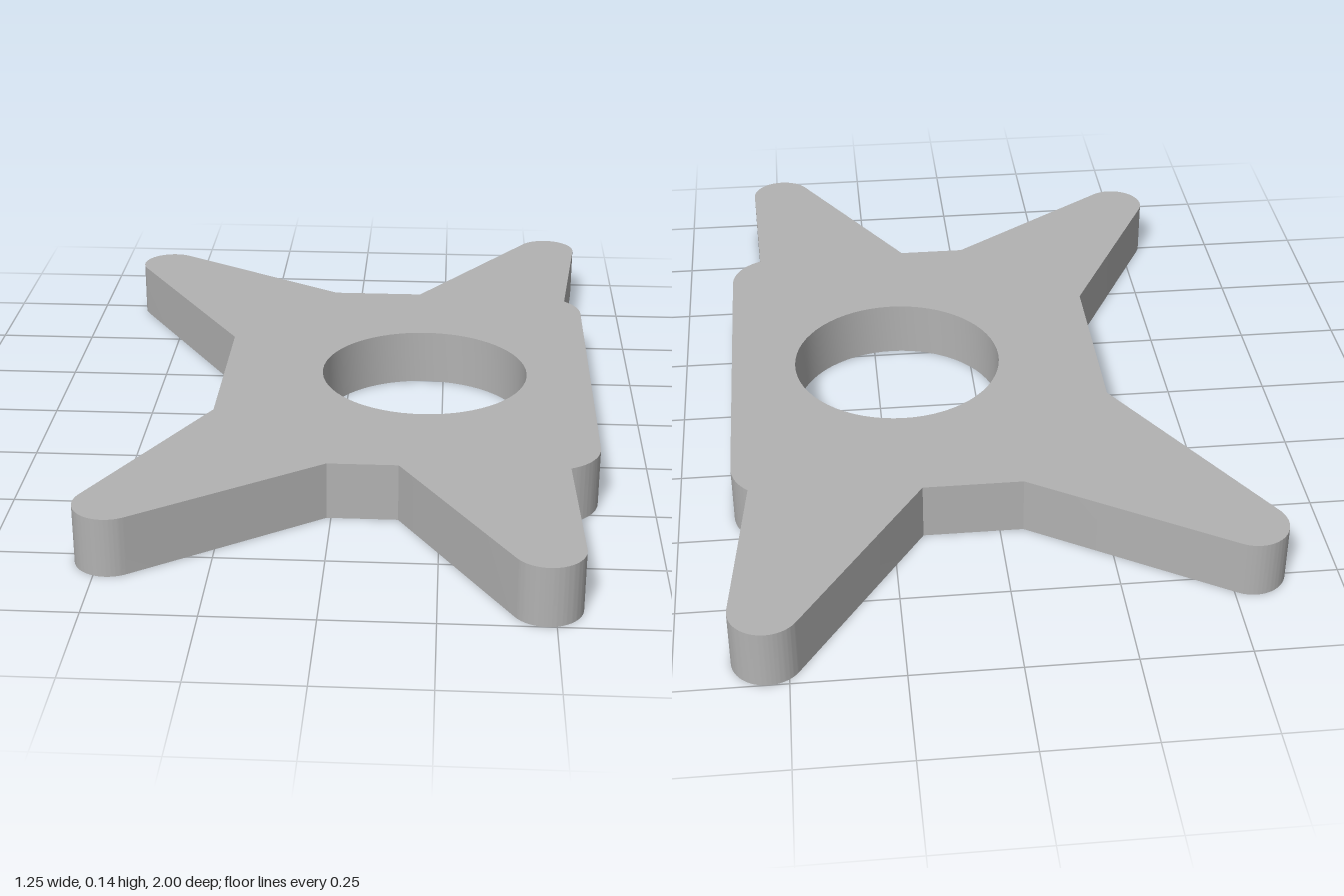
import * as THREE from 'three';
import { toCreasedNormals } from 'three/addons/utils/BufferGeometryUtils.js';

const THICKNESS = 0.14;
const TIP_RADIUS = 0.08;

// Rounded arm tip, tangent to the edges coming from point p and going to point q
function addTip(shape, p, c, q) {
  const tangent = (pt, side) => {
    const dx = pt[0] - c[0], dy = pt[1] - c[1];
    return Math.atan2(dy, dx) + side * Math.acos(TIP_RADIUS / Math.hypot(dx, dy));
  };
  shape.lineTo(...p);
  shape.absarc(c[0], c[1], TIP_RADIUS, tangent(p, 1), tangent(q, -1), false);
  shape.lineTo(...q);
}

export function createModel() {
  const group = new THREE.Group();
  group.name = 'starPlate';
  const grey = new THREE.MeshStandardMaterial({ color: 0xb2b2b2 });
  grey.name = 'plain grey';

  // Outline counter-clockwise, drawn as (x, -z)
  const outline = new THREE.Shape();
  outline.moveTo(0.62, -0.43);
  // straight right edge and its rounded rear corner
  outline.absarc(0.5, 0.41, 0.12, 0, 0.841, false);
  // four arms: inner corner, tip centre, inner corner
  addTip(outline, [0.58, 0.499], [0.545, 0.92], [0.18, 0.53]);
  addTip(outline, [-0.055, 0.53], [-0.548, 0.737], [-0.303, 0.19]);
  addTip(outline, [-0.303, -0.27], [-0.473, -0.768], [-0.01, -0.548]);
  addTip(outline, [0.155, -0.548], [0.48, -0.92], [0.546, -0.541]);
  // rounded front corner
  outline.absarc(0.5, -0.43, 0.12, -1.186, 0, false);

  // Round through-hole
  const hole = new THREE.Path();
  hole.absarc(0.203, -0.01, 0.258, 0, Math.PI * 2, true);
  outline.holes.push(hole);

  const extruded = new THREE.ExtrudeGeometry(outline, {
    depth: THICKNESS, bevelEnabled: false, curveSegments: 32,
  });
  extruded.rotateX(-Math.PI / 2);
  const plate = new THREE.Mesh(toCreasedNormals(extruded, 0.4), grey);
  plate.name = 'plate';
  group.add(plate);
  return group;
}
